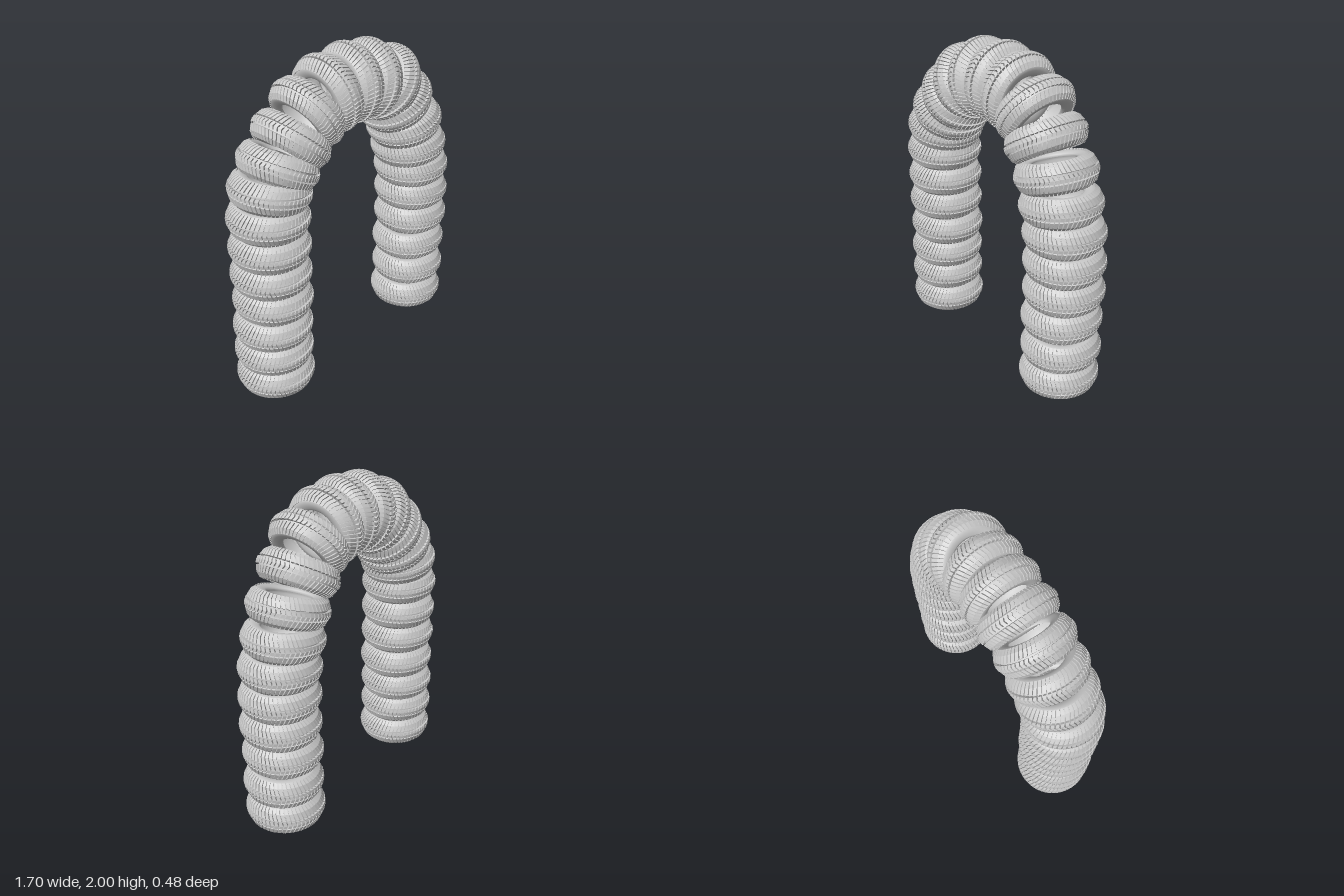
import * as THREE from 'three';

const LUGS = 56;

// Hollow tyre carcass: outer wall going up, inner liner coming back down
function carcassGeometry() {
  const side = [[0.125, 0.058], [0.128, 0.07], [0.14, 0.077], [0.165, 0.083], [0.188, 0.08], [0.206, 0.062], [0.216, 0.032]];
  const liner = [[0.132, 0.058], [0.16, 0.07], [0.185, 0.062], [0.2, 0.03]];
  const v = (r, y) => new THREE.Vector2(r, y);
  const pts = [
    ...side.map(([r, t]) => v(r, -t)),
    ...side.slice().reverse().map(([r, t]) => v(r, t)),
    ...liner.map(([r, t]) => v(r, t)),
    ...liner.slice().reverse().map(([r, t]) => v(r, -t)),
    v(side[0][0], -side[0][1]),
  ];
  return new THREE.LatheGeometry(pts, 40);
}

// Tread blocks: each is a bar swept over a few stations [radius, offset, slant]
function treadGeometry() {
  const pos = [];
  const point = (r, t, a) => [r * Math.cos(a), t, r * Math.sin(a)];
  const quad = (a, b, c, d) => pos.push(...a, ...b, ...c, ...a, ...c, ...d);

  function bar(stations, angle, halfWidth) {
    // four corners per station: top left, top right, base right, base left
    const sections = stations.map(([r, t, slant]) => {
      const a = angle + slant;
      const br = r + (0.17 - r) * 0.36, bt = t * 0.72;
      return [
        point(r, t, a - halfWidth), point(r, t, a + halfWidth),
        point(br, bt, a + halfWidth), point(br, bt, a - halfWidth),
      ];
    });
    for (let i = 0; i < sections.length - 1; i++) {
      const p = sections[i], q = sections[i + 1];
      quad(p[0], q[0], q[1], p[1]);
      quad(p[1], q[1], q[2], p[2]);
      quad(p[3], q[3], q[0], p[0]);
    }
    const s = sections[0], e = sections[sections.length - 1];
    quad(s[0], s[1], s[2], s[3]);
    quad(e[3], e[2], e[1], e[0]);
  }

  const step = (Math.PI * 2) / LUGS;
  const shoulder = [[0.23, 0.03, 0.02], [0.215, 0.066, 0.075], [0.189, 0.088, 0.1]];
  for (let i = 0; i < LUGS; i++) {
    const a = i * step;
    bar([[0.235, -0.02, 0.012], [0.238, 0, -0.02], [0.235, 0.02, 0.012]], a, step * 0.36);
    bar(shoulder, a, step * 0.37);
    bar(shoulder.map(([r, t, s]) => [r, -t, s]).reverse(), a, step * 0.37);
  }
  const g = new THREE.BufferGeometry();
  g.setAttribute('position', new THREE.Float32BufferAttribute(pos, 3));
  g.computeVertexNormals();
  return g;
}

export function createModel() {
  const model = new THREE.Group();
  model.name = 'tyreArch';
  const rubber = new THREE.MeshStandardMaterial({ color: 0xcccccc, side: THREE.DoubleSide });
  const carcass = carcassGeometry();
  const tread = treadGeometry();

  // Each tyre: x, y and the outward direction of the arch in degrees
  const tyres = [
    // right stack
    [-0.61, 0.09, 180], [-0.615, 0.268, 181], [-0.615, 0.44, 180], [-0.605, 0.62, 179],
    [-0.61, 0.8, 180], [-0.61, 0.975, 180], [-0.61, 1.155, 178],
    // curve over the top
    [-0.59, 1.315, 168], [-0.525, 1.44, 153], [-0.425, 1.56, 138], [-0.3, 1.68, 122],
    [-0.145, 1.745, 103], [0.02, 1.763, 89], [0.175, 1.745, 79], [0.325, 1.685, 55],
    [0.42, 1.55, 32], [0.515, 1.385, 17], [0.565, 1.22, 7],
    // left stack
    [0.6, 1.06, 2], [0.61, 0.885, -1], [0.613, 0.705, 0], [0.602, 0.515, 1],
    [0.605, 0.315, 0], [0.595, 0.125, 0],
  ];
  tyres.forEach(([x, y, deg], i) => {
    const tyre = new THREE.Group();
    tyre.name = `tyre${i + 1}`;
    const body = new THREE.Mesh(carcass, rubber);
    body.name = 'carcass';
    const lugs = new THREE.Mesh(tread, rubber);
    lugs.name = 'treadBlocks';
    tyre.add(body, lugs);
    tyre.position.set(x, y, 0);
    tyre.rotation.z = THREE.MathUtils.degToRad(deg);
    model.add(tyre);
  });
  return model;
}
